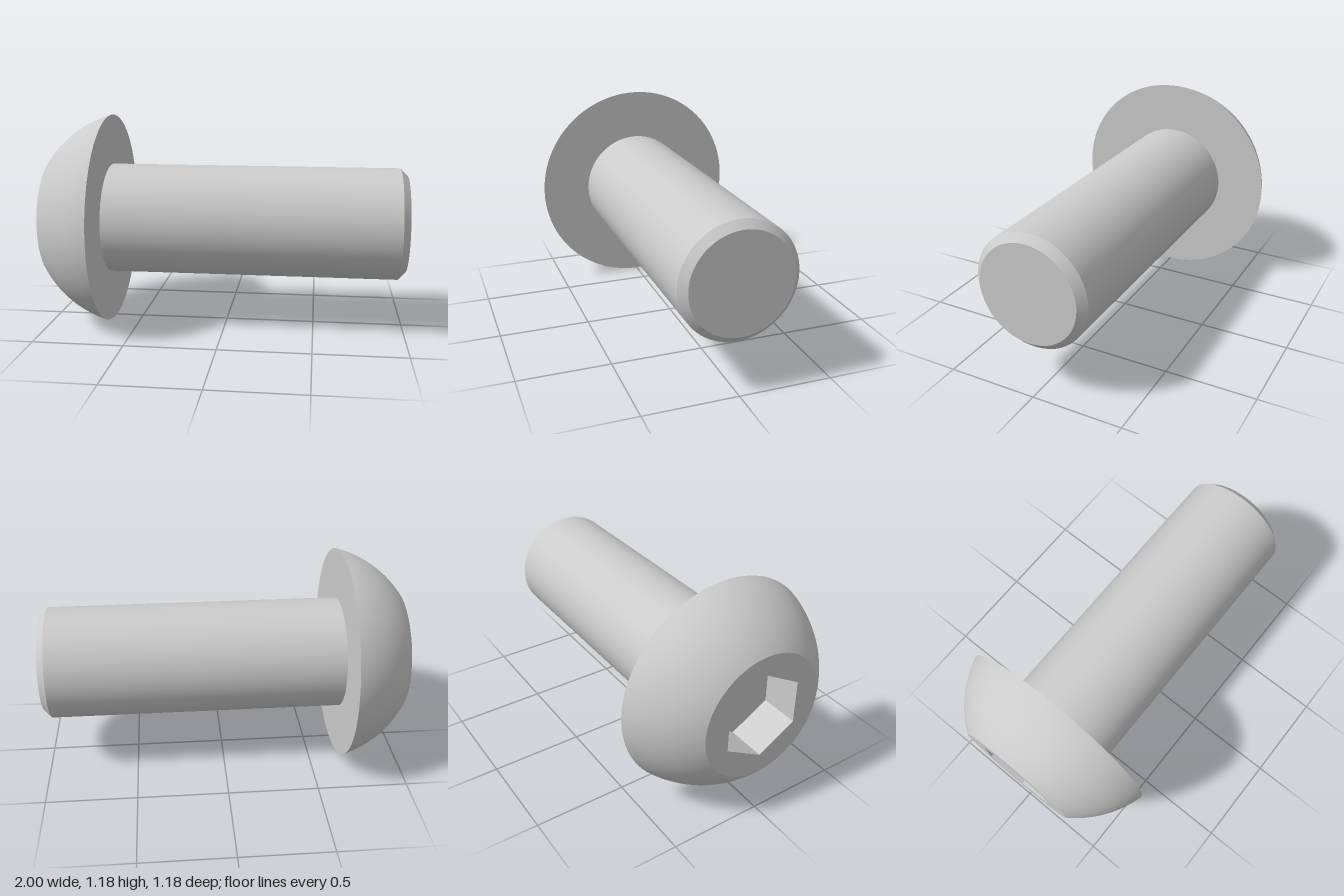
import * as THREE from 'three';

const SEGMENTS = 96;
const HEAD_R = 0.59, FACE_R = 0.345, SHANK_R = 0.31, TIP_R = 0.27;
const TOP = -1, SEAT = -0.66, CHAMFER = 0.96, END = 1;
const HEX_R = 0.24, HEX_DEPTH = 0.21;

export function createModel() {
  const model = new THREE.Group();
  model.name = 'buttonHeadScrew';
  const material = new THREE.MeshStandardMaterial({ color: 0xcccccc });

  // The screw is built along its own +y axis, then laid along +x.
  const screw = new THREE.Group();
  screw.name = 'screw';
  screw.rotation.z = -Math.PI / 2;
  screw.position.y = HEAD_R;
  model.add(screw);

  const add = (name, geometry, mat = material) => {
    const mesh = new THREE.Mesh(geometry, mat);
    mesh.name = name;
    screw.add(mesh);
    return mesh;
  };
  // Separate turned sections keep the edges between them sharp.
  const turn = (name, points) =>
    add(name, new THREE.LatheGeometry(points.map(([r, y]) => new THREE.Vector2(r, y)), SEGMENTS));

  // Domed head: a slice of a sphere centred on the axis
  const centre = (SEAT ** 2 + HEAD_R ** 2 - TOP ** 2 - FACE_R ** 2) / (2 * (SEAT - TOP));
  const radius = Math.hypot(TOP - centre, FACE_R);
  const a0 = Math.atan2(TOP - centre, FACE_R);
  const a1 = Math.atan2(SEAT - centre, HEAD_R);
  const dome = [];
  for (let i = 0; i <= 20; i++) {
    const a = a0 + (a1 - a0) * i / 20;
    dome.push([radius * Math.cos(a), centre + radius * Math.sin(a)]);
  }
  turn('headDome', dome);
  turn('headUnderside', [[HEAD_R, SEAT], [SHANK_R, SEAT]]);

  // Shank with chamfered tip
  turn('shank', [[SHANK_R, SEAT], [SHANK_R, CHAMFER]]);
  turn('tipChamfer', [[SHANK_R, CHAMFER], [TIP_R, END]]);
  turn('tipFace', [[TIP_R, END], [0, END]]);

  // Flat head face with a hexagonal opening
  const face = new THREE.Shape().absarc(0, 0, FACE_R, 0, Math.PI * 2);
  const hex = [];
  for (let i = 0; i < 6; i++) {
    const a = -i * Math.PI / 3;
    hex.push(new THREE.Vector2(HEX_R * Math.cos(a), HEX_R * Math.sin(a)));
  }
  face.holes.push(new THREE.Path(hex));
  add('headFace', new THREE.ShapeGeometry(face, SEGMENTS).rotateX(Math.PI / 2).translate(0, TOP, 0));

  // Hex socket walls, seen from inside, and floor
  const inside = new THREE.MeshStandardMaterial({ color: 0xcccccc, flatShading: true, side: THREE.DoubleSide });
  add('socketWalls',
    new THREE.CylinderGeometry(HEX_R, HEX_R, HEX_DEPTH, 6, 1, true, Math.PI / 2)
      .translate(0, TOP + HEX_DEPTH / 2, 0), inside);
  add('socketFloor',
    new THREE.CircleGeometry(HEX_R, 6).rotateX(Math.PI / 2).translate(0, TOP + HEX_DEPTH, 0));

  return model;
}
